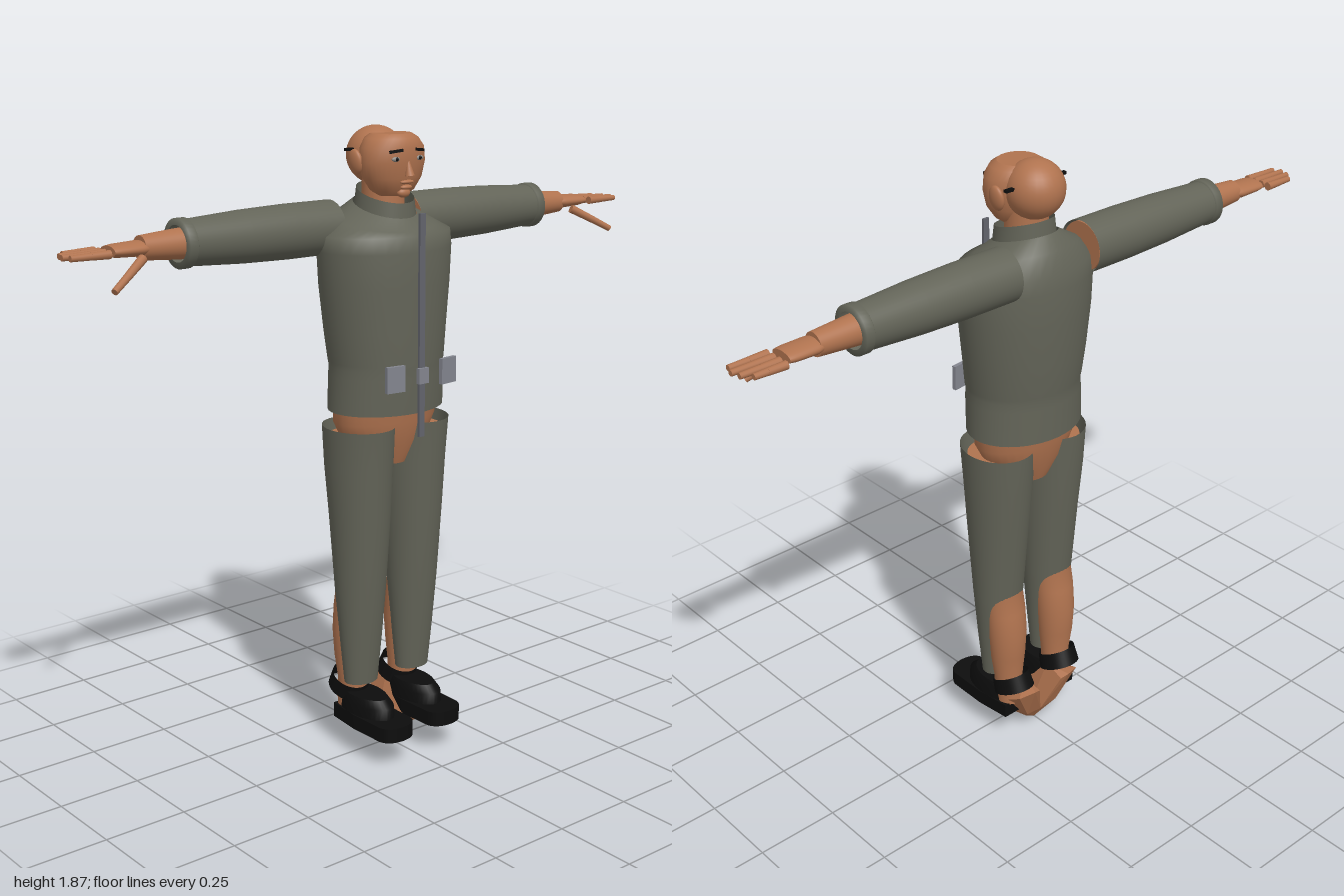
import * as THREE from 'three';
import { ConvexGeometry } from 'three/addons/geometries/ConvexGeometry.js';

const mat = (name, color, side = THREE.FrontSide) => {
  const m = new THREE.MeshStandardMaterial({ color, side });
  m.name = name;
  return m;
};

// Smooth skin through elliptical rings [y, cx, cz, rx, rz, tilt], listed upwards
function loft(rings, caps = true, n = 36) {
  const pos = [], idx = [];
  const addRing = ([y, cx, cz, rx, rz, tilt = 0]) => {
    const start = pos.length / 3;
    for (let j = 0; j < n; j++) {
      const a = (j / n) * Math.PI * 2, z = rz * Math.sin(a);
      pos.push(cx + rx * Math.cos(a), y - z * tilt, cz + z);
    }
    return start;
  };
  const starts = rings.map(addRing);
  for (let i = 0; i + 1 < rings.length; i++) {
    for (let j = 0; j < n; j++) {
      const k = (j + 1) % n, a = starts[i], b = starts[i + 1];
      idx.push(a + j, b + j, a + k, a + k, b + j, b + k);
    }
  }
  if (caps) {
    [rings[0], rings[rings.length - 1]].forEach((r, top) => {
      const s = addRing(r), c = pos.length / 3;
      pos.push(r[1], r[0], r[2]);
      for (let j = 0; j < n; j++) {
        const k = (j + 1) % n;
        if (top) idx.push(c, s + k, s + j);
        else idx.push(c, s + j, s + k);
      }
    });
  }
  const g = new THREE.BufferGeometry();
  g.setAttribute('position', new THREE.Float32BufferAttribute(pos, 3));
  g.setIndex(idx);
  g.computeVertexNormals();
  return g;
}

export function createModel() {
  const root = new THREE.Group();
  const skin = mat('skin', 0xb0734f);
  const cloth = mat('olive cloth', 0x636458, THREE.DoubleSide);
  const black = mat('black', 0x0d0d0d, THREE.DoubleSide);
  const metal = mat('grey metal', 0x83858e);
  const zipGrey = mat('zip grey', 0x62646c);
  const eyeGrey = mat('eye grey', 0x8f8a84);

  const add = (name, geo, material, p = [0, 0, 0], parent = root) => {
    const m = new THREE.Mesh(geo, material);
    m.name = name;
    m.position.set(...p);
    parent.add(m);
    return m;
  };
  const box = (name, size, p, material, parent) => add(name, new THREE.BoxGeometry(...size), material, p, parent);
  const ball = (name, radii, p, material) => {
    const m = add(name, new THREE.SphereGeometry(1, 28, 20), material, p);
    m.scale.set(...radii);
    return m;
  };
  // Round bar from point a to point b
  const rod = (name, a, b, r, material) => {
    const A = new THREE.Vector3(...a), B = new THREE.Vector3(...b), d = B.clone().sub(A);
    const m = add(name, new THREE.CylinderGeometry(r * 0.85, r, d.length(), 12), material);
    m.position.copy(A).add(B).multiplyScalar(0.5);
    m.quaternion.setFromUnitVectors(new THREE.Vector3(0, 1, 0), d.normalize());
  };

  // Head: rounded cranium behind a flat-topped face
  ball('cranium', [0.085, 0.083, 0.083], [0, 1.787, -0.058], skin);
  add('face', loft([
    [1.68, 0, 0.015, 0.045, 0.035], [1.695, 0, 0.015, 0.067, 0.055], [1.73, 0, 0.015, 0.093, 0.068],
    [1.775, 0, 0.015, 0.104, 0.075], [1.815, 0, 0.015, 0.098, 0.077], [1.84, 0, 0.012, 0.08, 0.07],
    [1.852, 0, 0.01, 0.06, 0.055],
  ]), skin);
  add('neck', new THREE.CylinderGeometry(0.06, 0.065, 0.18, 24), skin, [0, 1.64, -0.025]);
  const nose = add('nose', new THREE.ConeGeometry(0.014, 0.055, 12), skin, [0, 1.765, 0.089]);
  nose.rotation.x = -0.15;
  ball('upperLip', [0.024, 0.006, 0.01], [0, 1.721, 0.08], skin);
  ball('lowerLip', [0.02, 0.007, 0.01], [0, 1.706, 0.077], skin);
  ball('chin', [0.022, 0.014, 0.014], [0, 1.69, 0.065], skin);

  // Torso, collar and pelvis
  add('jacket', loft([
    [1.065, 0, -0.015, 0.184, 0.143], [1.17, 0, -0.012, 0.181, 0.146], [1.195, 0, -0.012, 0.178, 0.146],
    [1.21, 0, -0.012, 0.181, 0.149], [1.3, 0, -0.016, 0.192, 0.154], [1.43, 0, -0.018, 0.207, 0.159],
    [1.53, 0, -0.018, 0.214, 0.158], [1.575, 0, -0.018, 0.212, 0.15], [1.61, 0, -0.02, 0.155, 0.13, 0.2],
    [1.645, 0, -0.018, 0.088, 0.095, 0.28],
  ], false), cloth);
  add('collar', loft([[1.625, 0, -0.015, 0.088, 0.092, 0.28], [1.685, 0, -0.015, 0.08, 0.087, 0.28]], false), cloth);
  add('pelvis', loft([
    [0.9, 0, -0.02, 0.07, 0.07], [0.97, 0, -0.02, 0.14, 0.095], [1.03, 0, -0.02, 0.172, 0.106],
    [1.1, 0, -0.02, 0.172, 0.115],
  ]), skin);

  // Zip, buckle and belt plates
  box('zip', [0.02, 0.64, 0.008], [0, 1.32, 0.146], zipGrey);
  box('buckle', [0.036, 0.045, 0.012], [0, 1.18, 0.152], metal);

  for (const s of [1, -1]) {
    const side = s > 0 ? 'left' : 'right';
    const plate = box(side + 'BeltPlate', [0.06, 0.075, 0.012], [s * 0.098, 1.182, 0.148], metal);
    plate.rotation.y = s * 0.12;

    // Face details
    const ear = ball(side + 'Ear', [0.014, 0.036, 0.027], [s * 0.103, 1.775, -0.02], skin);
    ear.rotation.z = -s * 0.12;
    ball(side + 'Eye', [0.015, 0.007, 0.006], [s * 0.042, 1.786, 0.083], eyeGrey);
    ball(side + 'Pupil', [0.005, 0.006, 0.003], [s * 0.042, 1.786, 0.088], black);
    const brow = box(side + 'Brow', [0.04, 0.008, 0.008], [s * 0.042, 1.808, 0.084], black);
    brow.rotation.set(0, s * 0.3, -s * 0.12);
    box(side + 'Temple', [0.03, 0.008, 0.012], [s * 0.093, 1.806, -0.06], black);

    // Arm, built upwards then laid out to the side
    const arm = new THREE.Group();
    arm.name = side + 'Arm';
    arm.position.set(0, 1.59, -0.092);
    arm.rotation.z = -s * Math.PI / 2;
    root.add(arm);
    add('sleeve', loft([
      [0.14, 0, 0, 0.077, 0.077], [0.3, 0, 0, 0.077, 0.076], [0.45, 0, 0, 0.073, 0.072], [0.64, 0, 0, 0.062, 0.062],
    ], false), cloth, [0, 0, 0], arm);
    add('cuff', loft([
      [0.622, 0, 0, 0.063, 0.063], [0.625, 0, 0, 0.068, 0.067], [0.65, 0, 0, 0.068, 0.067], [0.653, 0, 0, 0.05, 0.05],
    ], false), cloth, [0, 0, 0], arm);
    add('armSkin', loft([
      [0.145, 0, 0, 0.071, 0.071], [0.35, 0, 0, 0.065, 0.065], [0.6, 0, 0, 0.044, 0.046],
      [0.66, 0, 0, 0.041, 0.04], [0.765, 0, 0, 0.033, 0.034],
    ]), skin, [0, 0, 0], arm);

    // Hand
    add(side + 'Palm', loft([
      [0.755, 0, 0, 0.019, 0.034], [0.775, 0, 0, 0.021, 0.04], [0.84, 0, 0, 0.018, 0.041], [0.86, 0, 0, 0.015, 0.038],
    ]), skin, [0, 0, 0], arm);
    [[-0.135, 0.97], [-0.109, 0.993], [-0.082, 1], [-0.056, 0.99]].forEach(([z, tip]) => {
      rod(side + 'FingerBase', [s * 0.875, 1.588, z], [s * 0.93, 1.588, z], 0.012, skin);
      rod(side + 'FingerTip', [s * 0.928, 1.588, z], [s * tip, 1.588, z], 0.01, skin);
    });
    rod(side + 'ThumbBase', [s * 0.785, 1.57, -0.045], [s * 0.85, 1.534, -0.014], 0.013, skin);
    rod(side + 'ThumbTip', [s * 0.845, 1.537, -0.016], [s * 0.905, 1.503, 0.01], 0.011, skin);

    // Trouser leg with the calf showing behind
    add(side + 'Trouser', loft([
      [0.225, s * 0.1, -0.01, 0.055, 0.042], [0.36, s * 0.1, -0.01, 0.067, 0.056],
      [0.52, s * 0.1, -0.011, 0.078, 0.074], [0.75, s * 0.1, -0.012, 0.09, 0.094],
      [0.9, s * 0.101, -0.015, 0.098, 0.106], [1.02, s * 0.102, -0.013, 0.101, 0.116],
    ], false), cloth);
    add(side + 'Leg', loft([
      [0.13, s * 0.098, -0.06, 0.042, 0.042], [0.22, s * 0.098, -0.053, 0.046, 0.042],
      [0.3, s * 0.1, -0.052, 0.056, 0.052], [0.38, s * 0.1, -0.05, 0.062, 0.058],
      [0.46, s * 0.1, -0.042, 0.064, 0.057], [0.55, s * 0.1, -0.025, 0.064, 0.056],
      [0.8, s * 0.1, -0.015, 0.08, 0.08], [0.99, s * 0.1, -0.015, 0.085, 0.095],
    ]), skin);

    // Bare foot tapering inwards and down below the shoe
    const foot = [
      [0.13, 0.15, -0.09], [0.12, 0.17, -0.13], [0.07, 0.18, -0.148], [0.045, 0.17, -0.14], [0.05, 0.19, -0.07],
      [0.1, 0.09, 0.07], [0.07, 0.085, 0.085], [0.045, 0.1, 0.07], [0.1, 0.08, -0.06],
      [0.03, 0.015, -0.06], [0, 0.002, -0.065], [0, 0.06, -0.055], [0, 0.05, -0.095], [0.06, 0.06, -0.1],
    ].map(([x, y, z]) => new THREE.Vector3(s * x, y, z));
    add(side + 'Foot', new ConvexGeometry(foot), skin);

    // Shoe: rounded sole, stepped upper and tilted ankle band
    const outline = new THREE.Shape();
    outline.moveTo(-0.05, 0.09).lineTo(-0.062, -0.02).lineTo(-0.06, -0.14);
    outline.quadraticCurveTo(-0.055, -0.18, 0, -0.182).quadraticCurveTo(0.055, -0.18, 0.06, -0.14);
    outline.lineTo(0.062, -0.02).lineTo(0.05, 0.09);
    const sole = add(side + 'Sole', new THREE.ExtrudeGeometry(outline, { depth: 0.045, bevelEnabled: false }), black, [s * 0.093, 0.088, 0]);
    sole.rotation.x = -Math.PI / 2;
    add(side + 'ShoeUpper', loft([
      [0.125, s * 0.093, 0.01, 0.06, 0.11], [0.165, s * 0.093, 0.01, 0.058, 0.106], [0.187, s * 0.093, 0, 0.048, 0.09],
    ]), black);
    add(side + 'AnkleBand', loft([
      [0.175, s * 0.095, -0.078, 0.06, 0.062, 0.4], [0.222, s * 0.097, -0.062, 0.056, 0.054, 0.45],
    ], false), black);
  }
  return root;
}
